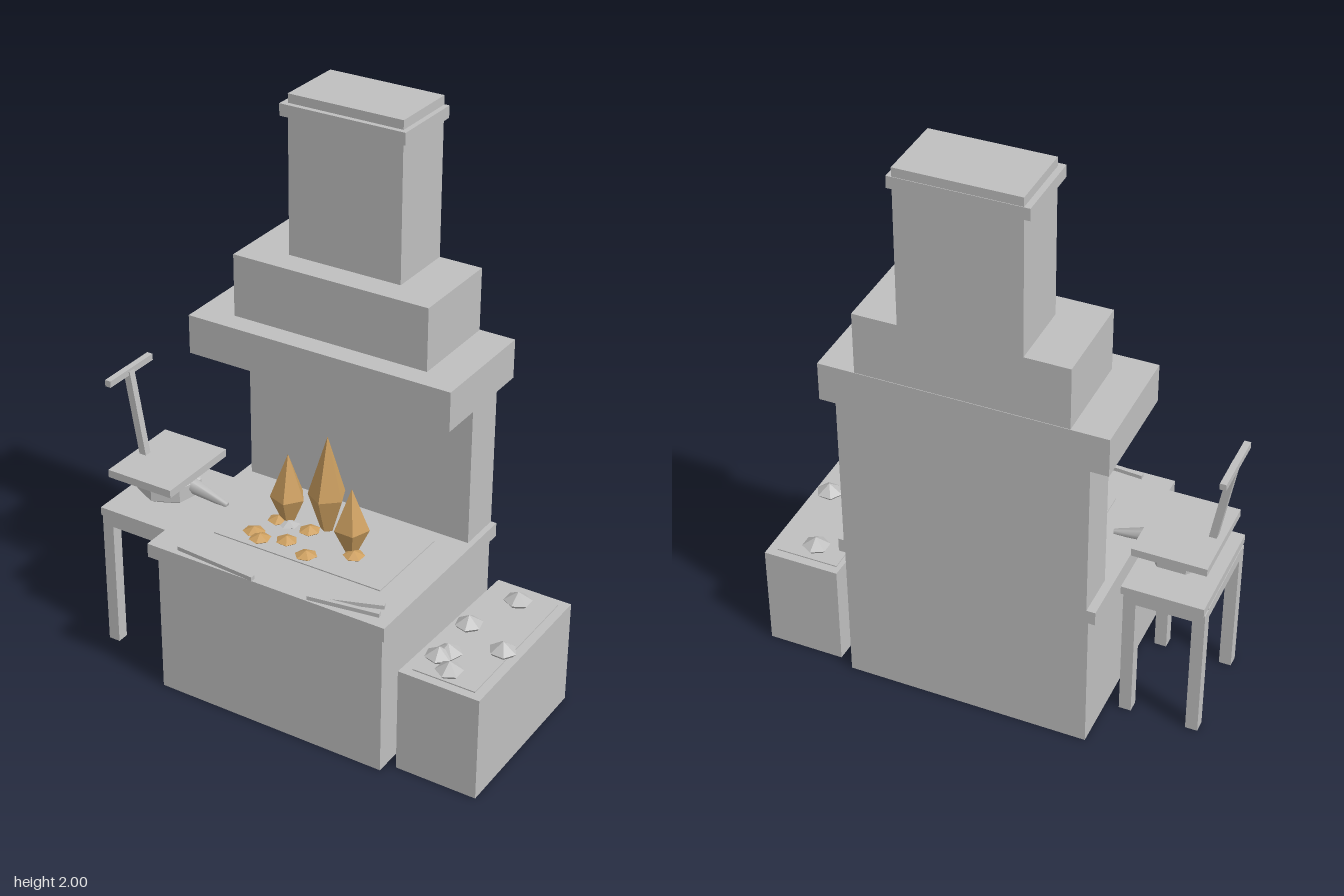
import * as THREE from 'three';

const stone = new THREE.MeshStandardMaterial({ color: 0xbfbfbf });
stone.name = 'grey stone';
const fire = new THREE.MeshStandardMaterial({ color: 0xcc9f60 });
fire.name = 'fire orange';

export function createModel() {
  const root = new THREE.Group();
  root.name = 'forge';

  const add = (name, geometry, material = stone, parent = root) => {
    const mesh = new THREE.Mesh(geometry, material);
    mesh.name = name;
    parent.add(mesh);
    return mesh;
  };
  const group = (name) => {
    const g = new THREE.Group();
    g.name = name;
    root.add(g);
    return g;
  };
  // Box given by its limits on each axis
  const block = (name, [x0, x1], [y0, y1], [z0, z1], parent = root) => {
    const g = new THREE.BoxGeometry(x1 - x0, y1 - y0, z1 - z0);
    g.translate((x0 + x1) / 2, (y0 + y1) / 2, (z0 + z1) / 2);
    return add(name, g, stone, parent);
  };
  // Square bar between two points
  const bar = (name, a, b, w, h, parent = root) => {
    const p = new THREE.Vector3(...a), q = new THREE.Vector3(...b);
    const m = add(name, new THREE.BoxGeometry(w, h, p.distanceTo(q)), stone, parent);
    m.position.copy(p).lerp(q, 0.5);
    m.lookAt(q);
    return m;
  };
  // Faceted solid of revolution, profile listed from bottom to top
  const faceted = (profile, sides) => {
    const g = new THREE.LatheGeometry(profile.map(([r, y]) => new THREE.Vector2(r, y)), sides).toNonIndexed();
    g.computeVertexNormals();
    return g;
  };

  // Masonry, from hearth base to chimney
  block('hearthBase', [-0.42, 0.425], [0, 0.515], [-0.35, 0.335]);
  block('hearthSlab', [-0.445, 0.445], [0.515, 0.565], [-0.355, 0.357]);
  block('firePan', [-0.3, 0.33], [0.565, 0.569], [-0.15, 0.19]);
  block('backWall', [-0.415, 0.425], [0.565, 1.115], [-0.355, -0.2]);
  block('hoodLower', [-0.475, 0.48], [1.115, 1.25], [-0.357, 0.05]);
  block('hoodUpper', [-0.35, 0.355], [1.25, 1.465], [-0.355, -0.025]);
  block('chimney', [-0.2, 0.205], [1.465, 2], [-0.355, -0.115]);
  block('chimneyBand', [-0.22, 0.222], [1.93, 1.97], [-0.357, -0.098]);

  // Flames
  [[-0.135, 0.82, 0.0, 0.06, 0.3], [0, 0.915, -0.025, 0.065, 0.1], [0.135, 0.8, 0.045, 0.06, 0.6]].forEach(([x, top, z, r, turn]) => {
    const waist = 0.57 + (top - 0.57) * 0.37;
    const f = add('flame', faceted([[0, 0.555], [r * 0.35, 0.57], [r, waist], [0, top]], 5), fire);
    f.position.set(x, 0, z);
    f.rotation.y = turn;
  });

  // Pointed lumps of coal
  const lumpShape = faceted([[0.75, 0], [1, 0.3], [0, 1]], 6);
  const lumps = (name, list, y, r, h, material) => {
    const g = group(name + 's');
    list.forEach(([x, z], i) => {
      const m = add(name, lumpShape, material, g);
      m.position.set(x, y, z);
      m.scale.set(r, h, r * 0.95);
      m.rotation.y = i * 1.3;
    });
  };
  lumps('ember', [[-0.19, 0.12], [-0.15, 0.145], [-0.07, 0.11], [0.03, 0.15], [0.16, 0.07], [-0.16, 0.02], [-0.04, 0.02]], 0.567, 0.038, 0.024, fire);
  lumps('ash', [[-0.12, 0.02], [0.07, -0.03]], 0.567, 0.038, 0.018, stone);

  // Tools lying on the slab
  bar('poker', [-0.34, 0.572, 0.328], [-0.04, 0.572, 0.35], 0.016, 0.014);
  const tongs = group('tongs');
  bar('tongArm', [0.16, 0.572, 0.345], [0.39, 0.572, 0.262], 0.014, 0.014, tongs);
  bar('tongArm', [0.16, 0.572, 0.345], [0.4, 0.572, 0.308], 0.014, 0.014, tongs);

  // Coal bin, slightly out of square
  const bin = block('coalBin', [0.46, 0.747], [0, 0.375], [-0.32, 0.295]);
  const p = bin.geometry.attributes.position;
  for (let i = 0; i < p.count; i++) {
    if (p.getZ(i) < 0 && p.getX(i) < 0.6) p.setX(i, 0.48);
  }
  bin.geometry.computeVertexNormals();
  block('coalBed', [0.495, 0.715], [0.37, 0.379], [-0.29, 0.265]);
  lumps('coal', [[0.6, -0.23], [0.53, -0.03], [0.69, 0.04], [0.55, 0.14], [0.6, 0.22], [0.535, 0.17]], 0.377, 0.048, 0.045, stone);

  // Table beside the hearth
  const table = group('table');
  for (const x of [-0.74, -0.508]) {
    for (const z of [-0.165, 0.17]) block('leg', [x, x + 0.042], [0, 0.5], [z, z + 0.042], table);
    block('sideRail', [x, x + 0.042], [0.465, 0.505], [-0.13, 0.18], table);
  }
  for (const z of [-0.165, 0.17]) block('endRail', [-0.7, -0.5], [0.465, 0.505], [z, z + 0.042], table);
  block('tableTop', [-0.738, -0.46], [0.505, 0.535], [-0.175, 0.222], table);

  // Bellows with nozzle and pump handle
  const bellows = group('bellows');
  const bag = add('bag', faceted([[0, 0.535], [0.075, 0.542], [0.112, 0.565], [0.112, 0.615], [0.08, 0.635], [0, 0.637]], 7), stone, bellows);
  bag.position.set(-0.59, 0, 0.027);
  block('upperBoard', [-0.727, -0.475], [0.637, 0.665], [-0.135, 0.185], bellows);
  const nozzle = add('nozzle', new THREE.CylinderGeometry(0.01, 0.028, 0.15, 6), stone, bellows);
  nozzle.position.set(-0.43, 0.585, 0.03);
  nozzle.rotation.z = -1.8;
  bar('handleRod', [-0.69, 0.66, 0.03], [-0.742, 0.965, 0.03], 0.026, 0.026, bellows);
  block('handleGrip', [-0.755, -0.733], [0.953, 0.976], [-0.09, 0.142], bellows);

  return root;
}
